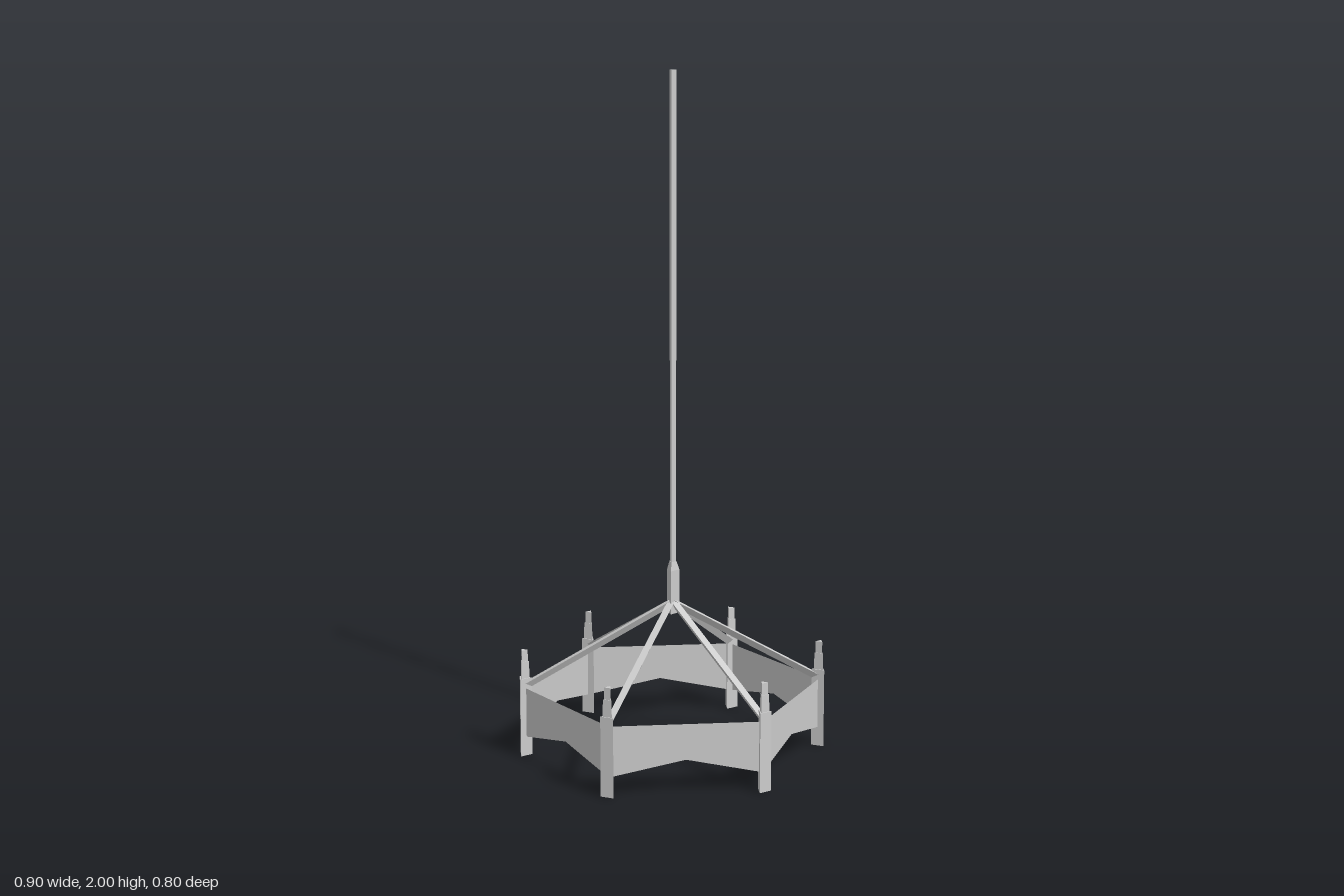
import * as THREE from 'three';

const RADIUS = 0.437;
const ARMS = 6;

const material = new THREE.MeshStandardMaterial({ color: 0xcccccc, flatShading: true, side: THREE.DoubleSide });

// three-sided prism standing from y0 to y1; "start" is the direction of one edge
function prism(name, rBottom, rTop, y0, y1, start) {
  const geo = new THREE.CylinderGeometry(rTop, rBottom, y1 - y0, 3, 1, false, start);
  geo.translate(0, (y0 + y1) / 2, 0);
  const mesh = new THREE.Mesh(geo, material);
  mesh.name = name;
  return mesh;
}

// upright post with a tapered candle holder and candle
function makePost() {
  const post = new THREE.Group();
  post.name = 'post';
  const inward = -Math.PI / 2;
  post.add(
    prism('postShaft', 0.023, 0.023, 0, 0.235, inward),
    prism('candleHolder', 0.017, 0.015, 0.235, 0.285, inward),
    prism('candle', 0.012, 0.012, 0.285, 0.32, inward)
  );
  post.position.x = RADIUS;
  return post;
}

// sloping triangular bar from the hub down to a post, flat side up
function makeArm() {
  const from = new THREE.Vector2(0, 0.455);
  const to = new THREE.Vector2(0.432, 0.213);
  const geo = new THREE.CylinderGeometry(0.0125, 0.0125, from.distanceTo(to), 3, 1, false, Math.PI / 2);
  const arm = new THREE.Mesh(geo, material);
  arm.name = 'arm';
  arm.position.set((from.x + to.x) / 2, (from.y + to.y) / 2, 0);
  arm.rotation.z = to.clone().sub(from).angle() - Math.PI / 2;
  return arm;
}

// thin side panel with a peaked lower edge, spanning two neighbouring posts
function makePanel() {
  const half = RADIUS * Math.sin(Math.PI / ARMS);
  const shape = new THREE.Shape([
    [-half, 0.205], [-half, 0.055], [0, 0.1], [half, 0.055], [half, 0.205]
  ].map(([x, y]) => new THREE.Vector2(x, y)));
  const panel = new THREE.Mesh(new THREE.ShapeGeometry(shape), material);
  panel.name = 'sidePanel';
  panel.position.z = RADIUS * Math.cos(Math.PI / ARMS);
  return panel;
}

export function createModel() {
  const model = new THREE.Group();
  model.name = 'chandelier';

  // hub and hanging rod
  const turn = -Math.PI / 2 + 0.2;
  model.add(
    prism('hub', 0.021, 0.021, 0.42, 0.55, turn),
    prism('hubCap', 0.021, 0.012, 0.55, 0.575, turn),
    prism('lowerRod', 0.0105, 0.0105, 0.575, 1.17, turn),
    prism('upperRod', 0.012, 0.012, 1.17, 2, turn)
  );

  // six identical sectors
  for (let i = 0; i < ARMS; i++) {
    const sector = new THREE.Group();
    sector.name = `sector${i + 1}`;
    sector.add(makePost(), makeArm(), makePanel());
    sector.rotation.y = (i * Math.PI * 2) / ARMS;
    model.add(sector);
  }
  return model;
}
